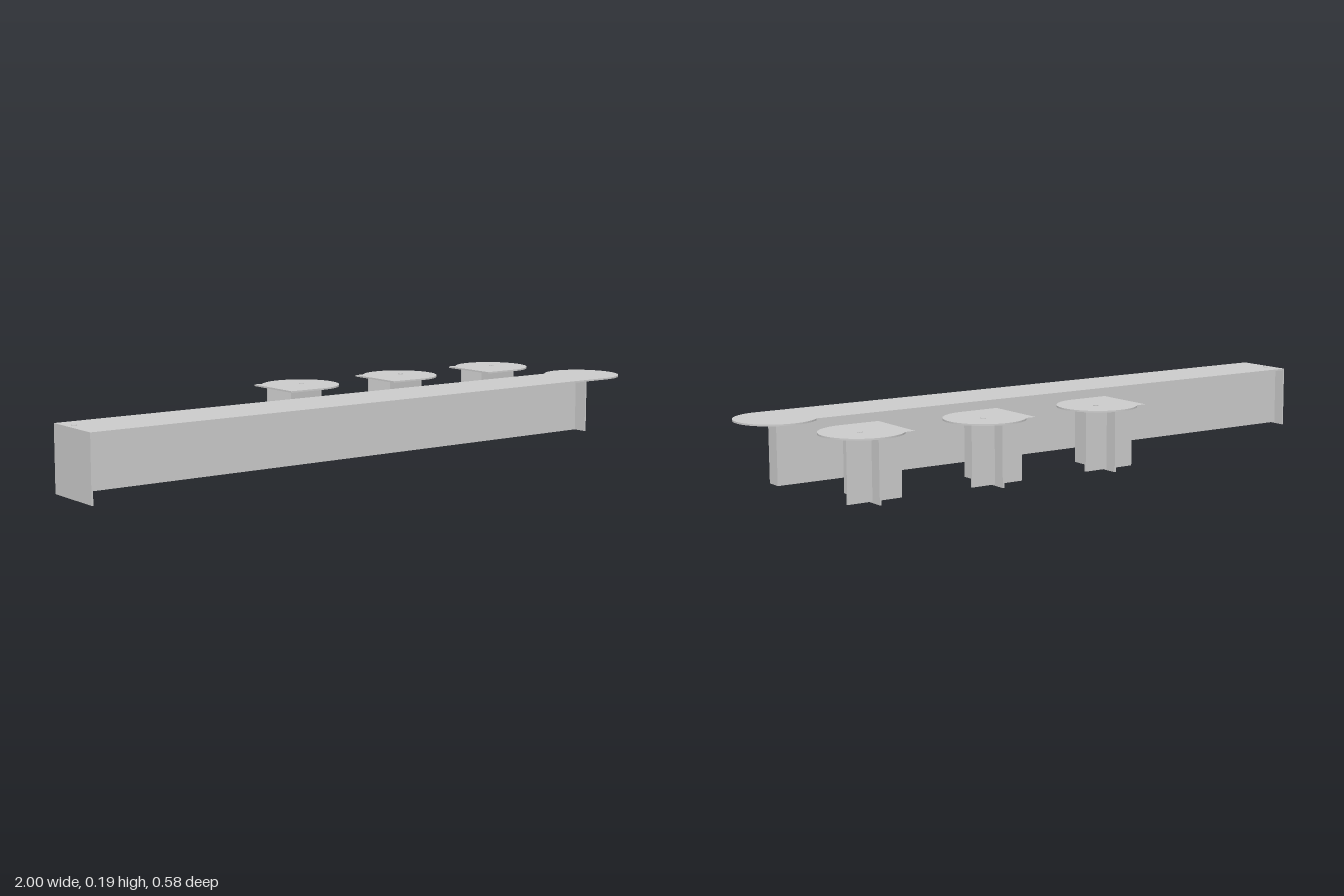
import * as THREE from 'three';

const R = 0.12;        // radius of the rounded end
const UNDER = 0.188;   // underside of the tops
const THICK = 0.005;   // panel and top thickness
const FOOT = 0.004;    // floor gap under the inner panels
const grey = new THREE.MeshStandardMaterial({ color: 0xcccccc });

function add(group, name, geometry, x, y, z) {
  const mesh = new THREE.Mesh(geometry, grey);
  mesh.name = name;
  mesh.position.set(x, y, z);
  group.add(mesh);
  return mesh;
}

// Upright board given by its extents on the floor
function panel(group, name, x0, x1, z0, z1, y0) {
  const geometry = new THREE.BoxGeometry(x1 - x0, UNDER - y0, z1 - z0);
  add(group, name, geometry, (x0 + x1) / 2, (UNDER + y0) / 2, (z0 + z1) / 2);
}

// Straight strip that ends in a wider disc, centred on the disc
function keyholeTop(length) {
  const s = new THREE.Shape();
  s.moveTo(-length, -R);
  s.lineTo(0, -R);
  s.absarc(0, 0, R, -Math.PI / 2, Math.PI - Math.asin(0.08 / R), false);
  s.lineTo(-length, 0.08);
  s.closePath();
  return new THREE.ExtrudeGeometry(s, { depth: THICK, bevelEnabled: false, curveSegments: 40 })
    .rotateX(-Math.PI / 2);
}

// A table: top, cross panel, long panel, short flange and a cap on the top
function table(name, x, z, d) {
  const g = new THREE.Group();
  g.name = name;
  g.position.set(x, 0, z);
  add(g, 'top', keyholeTop(d.length), 0, UNDER, 0);
  panel(g, 'crossPanel', d.cross, d.cross + THICK, -0.08, R, 0);
  panel(g, 'longPanel', d.from, d.to, d.longZ, d.longZ + THICK, FOOT);
  panel(g, 'flange', d.flange, d.flange + THICK, d.longZ, d.longZ + 0.05, FOOT);
  add(g, 'cap', new THREE.CylinderGeometry(0.008, 0.008, 0.002, 20),
    d.capX, UNDER + THICK + 0.001, -0.013);
  return g;
}

export function createModel() {
  const model = new THREE.Group();
  model.name = 'tableSet';

  // Long counter with its supports
  model.add(table('counter', 0.88, 0.17, {
    length: 1.88, cross: -1.88, from: -1.875, to: 0.018, longZ: -0.042, flange: 0.013, capX: -1.855,
  }));

  // Three small tables behind it
  for (let i = 0; i < 3; i++) {
    model.add(table('smallTable' + (i + 1), -0.005 + i * 0.3975, -0.17, {
      length: R, cross: -0.012, from: -0.1, to: 0.07, longZ: -0.04, flange: 0.02, capX: 0.013,
    }));
  }
  return model;
}
